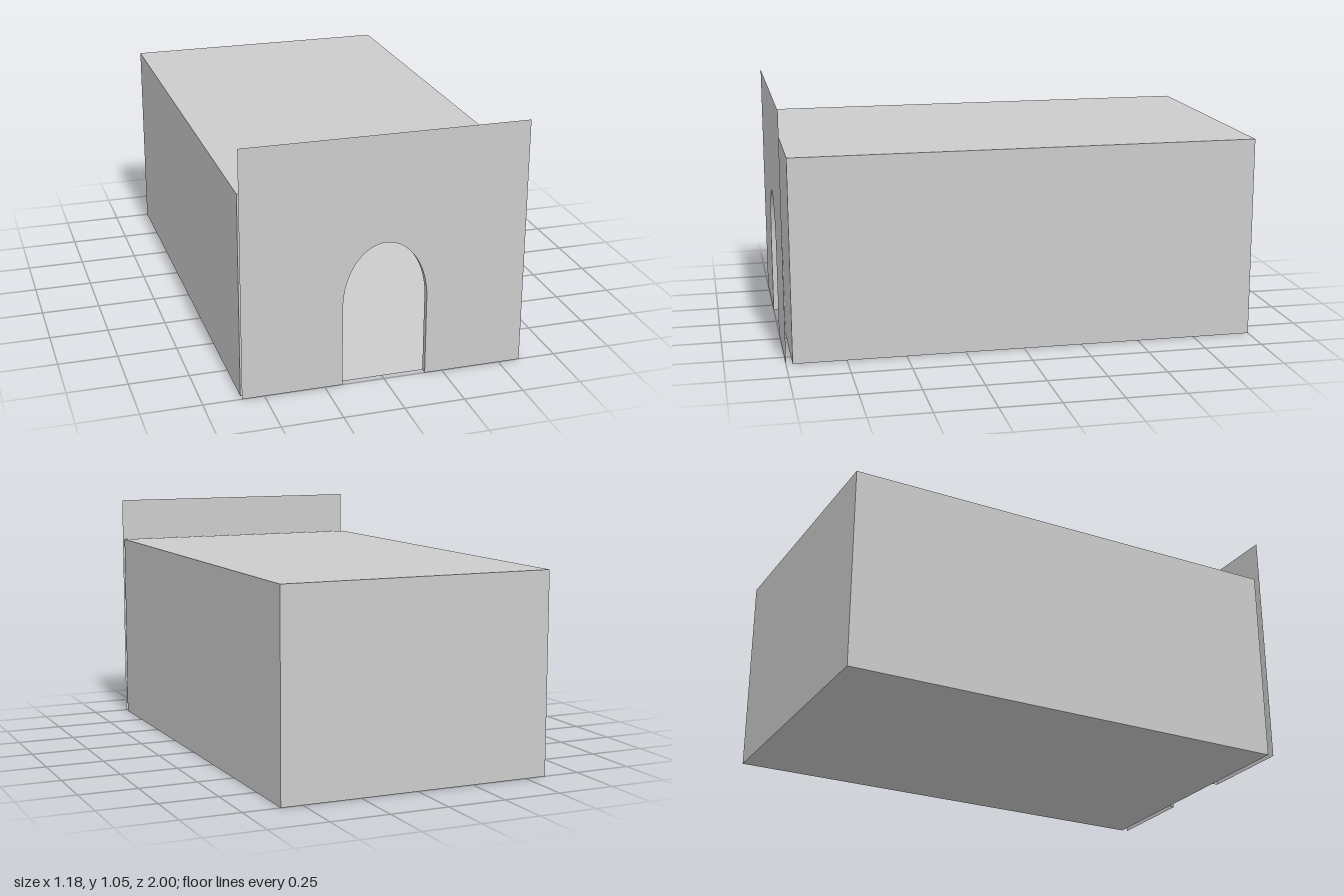
import * as THREE from 'three';

const HALF_W = 0.592, BOX_H = 0.86, PLATE_H = 1.05;
const BACK_Z = -1, BOX_Z = 0.973, PLATE_Z = 1;
const DOOR_R = 0.176, SPRING_Y = 0.34, DOOR_TOP = 0.6;

const material = new THREE.MeshStandardMaterial({ color: 0xcccccc, side: THREE.DoubleSide });

// Doorway outline: right foot, over the elliptical arch, to the left foot
function doorPoints(segments = 40) {
  const pts = [new THREE.Vector2(DOOR_R, 0)];
  for (let i = 0; i <= segments; i++) {
    const a = (Math.PI * i) / segments;
    pts.push(new THREE.Vector2(DOOR_R * Math.cos(a), SPRING_Y + (DOOR_TOP - SPRING_Y) * Math.sin(a)));
  }
  pts.push(new THREE.Vector2(-DOOR_R, 0));
  return pts;
}

// Flat wall of the given height with the doorway cut from its lower edge
function wallWithDoor(height) {
  return new THREE.ShapeGeometry(new THREE.Shape([
    new THREE.Vector2(-HALF_W, 0),
    ...doorPoints().reverse(),
    new THREE.Vector2(HALF_W, 0),
    new THREE.Vector2(HALF_W, height),
    new THREE.Vector2(-HALF_W, height),
  ]));
}

// Strip that follows the doorway between the two walls
function revealGeometry() {
  const pos = [], index = [];
  doorPoints().forEach((p, i) => {
    pos.push(p.x, p.y, BOX_Z, p.x, p.y, PLATE_Z);
    if (i > 0) {
      const a = 2 * i - 2;
      index.push(a, a + 2, a + 1, a + 1, a + 2, a + 3);
    }
  });
  const geo = new THREE.BufferGeometry();
  geo.setAttribute('position', new THREE.Float32BufferAttribute(pos, 3));
  geo.setIndex(index);
  geo.computeVertexNormals();
  return geo;
}

export function createModel() {
  const group = new THREE.Group();
  const add = (name, geo, z = 0) => {
    const mesh = new THREE.Mesh(geo, material);
    mesh.name = name;
    mesh.position.z = z;
    group.add(mesh);
  };

  // Hollow room: a box without its front face (the fifth of six)
  const room = new THREE.BoxGeometry(2 * HALF_W, BOX_H, BOX_Z - BACK_Z);
  room.translate(0, BOX_H / 2, (BOX_Z + BACK_Z) / 2);
  room.setIndex(Array.from(room.index.array).filter((_, i) => i < 24 || i >= 30));
  room.clearGroups();
  add('room', room);

  add('innerFrontWall', wallWithDoor(BOX_H), BOX_Z);
  add('facade', wallWithDoor(PLATE_H), PLATE_Z);
  add('doorwayReveal', revealGeometry());
  return group;
}
